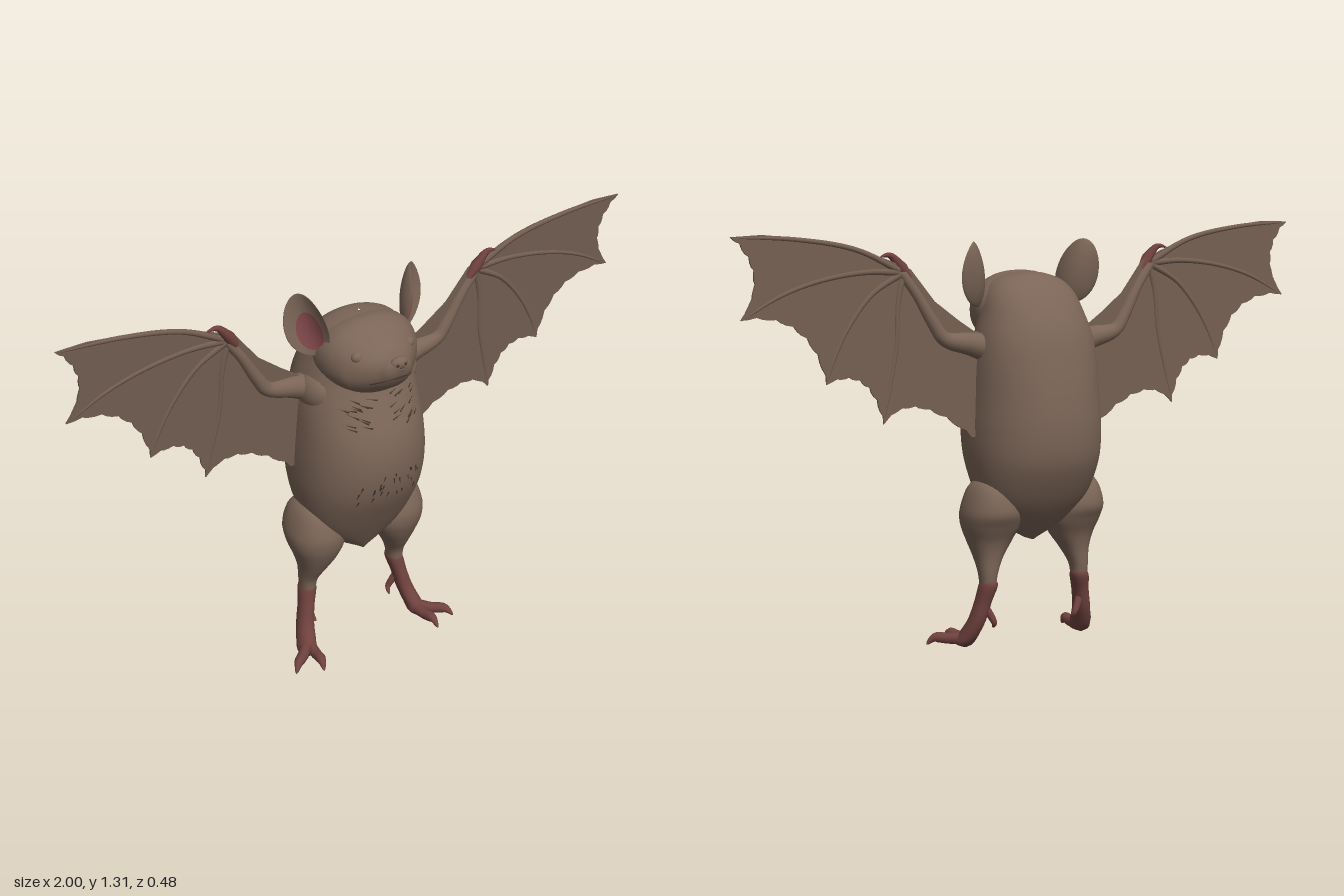
import * as THREE from 'three';
import { mergeGeometries, mergeVertices } from 'three/addons/utils/BufferGeometryUtils.js';

const V = (x, y, z = 0) => new THREE.Vector3(x, y, z);
const material = (name, color, side = THREE.FrontSide) => {
  const m = new THREE.MeshStandardMaterial({ color, side });
  m.name = name;
  return m;
};

const POWER = 0.9; // slightly squared cross-sections

// Cross-section at u from rows of [position, low, high, halfWidth, centreX]
function sectionCurves(rows) {
  const spans = new THREE.CatmullRomCurve3(rows.map(r => V(r[0], r[1], r[2])), false, 'catmullrom', 0.5);
  const widths = new THREE.CatmullRomCurve3(rows.map(r => V(r[0], r[3], r[4] || 0)), false, 'catmullrom', 0.5);
  return u => {
    const a = spans.getPoint(u), b = widths.getPoint(u);
    return { t: a.x, c: (a.y + a.z) / 2, h: Math.abs(a.z - a.y) / 2, w: Math.abs(b.y), cx: b.z };
  };
}

// Smooth skin through cross-sections stacked along y or z
function loft(rows, axis, steps = 48, sides = 40) {
  const at = sectionCurves(rows), pos = [], index = [];
  const bend = v => Math.sign(v) * Math.abs(v) ** POWER;
  for (let i = 0; i <= steps; i++) {
    const s = at(i / steps);
    for (let j = 0; j < sides; j++) {
      const q = j / sides * Math.PI * 2;
      const x = s.cx + s.w * bend(Math.cos(q)), k = s.c + s.h * bend(Math.sin(q));
      pos.push(x, ...(axis === 'y' ? [s.t, k] : [k, s.t]));
      if (i === steps) continue;
      const a = i * sides + j, b = i * sides + (j + 1) % sides, c = a + sides, d = b + sides;
      index.push(...(axis === 'y' ? [a, c, b, b, c, d] : [a, b, c, b, d, c]));
    }
  }
  const g = new THREE.BufferGeometry();
  g.setAttribute('position', new THREE.Float32BufferAttribute(pos, 3));
  g.setIndex(index);
  g.computeVertexNormals();
  return g;
}

// Tube whose radius follows a list of radii, closed at both ends
function limb(points, radii, steps = 20, sides = 10) {
  const curve = new THREE.CatmullRomCurve3(points);
  const g = new THREE.TubeGeometry(curve, steps, 1, sides);
  const p = g.attributes.position, v = V(0, 0);
  for (let i = 0; i <= steps; i++) {
    const f = i / steps * (radii.length - 1), k = Math.min(Math.floor(f), radii.length - 2);
    const end = i === 0 || i === steps ? 0.02 : 1;
    const r = end * THREE.MathUtils.lerp(radii[k], radii[k + 1], f - k), c = curve.getPointAt(i / steps);
    for (let j = 0; j <= sides; j++) {
      const n = i * (sides + 1) + j;
      v.fromBufferAttribute(p, n).sub(c).multiplyScalar(r).add(c);
      p.setXYZ(n, v.x, v.y, v.z);
    }
  }
  return g;
}

const BODY = [
  [0.34, -0.04, 0.03, 0.005], [0.38, -0.085, 0.055, 0.08], [0.43, -0.13, 0.085, 0.145],
  [0.5, -0.18, 0.125, 0.185], [0.6, -0.228, 0.175, 0.208], [0.7, -0.24, 0.195, 0.212],
  [0.8, -0.232, 0.187, 0.207], [0.9, -0.215, 0.15, 0.2], [0.98, -0.195, 0.12, 0.188],
  [1.05, -0.165, 0.11, 0.168], [1.11, -0.125, 0.1, 0.148], [1.15, -0.085, 0.09, 0.115],
  [1.172, -0.045, 0.07, 0.06], [1.178, 0, 0.02, 0.004]];
const HEAD = [
  [-0.09, 1.05, 1.08, 0.01], [-0.05, 0.98, 1.14, 0.13], [0, 0.953, 1.17, 0.163],
  [0.06, 0.948, 1.18, 0.162], [0.11, 0.953, 1.163, 0.142], [0.14, 0.963, 1.138, 0.116],
  [0.17, 0.982, 1.115, 0.088], [0.2, 1.005, 1.106, 0.062], [0.225, 1.04, 1.103, 0.042],
  [0.238, 1.075, 1.095, 0.008]];
const THIGH = [
  [0.2, -0.07, -0.014, 0.023, 0.168], [0.25, -0.075, -0.005, 0.029, 0.166], [0.3, -0.078, 0.025, 0.045, 0.158],
  [0.35, -0.09, 0.052, 0.07, 0.15], [0.4, -0.115, 0.07, 0.09, 0.148], [0.45, -0.135, 0.07, 0.087, 0.153],
  [0.52, -0.11, 0.04, 0.055, 0.16], [0.56, -0.04, -0.02, 0.01, 0.155]];
const SHANK = [
  [0.008, 0.015, 0.03, 0.004, 0.215], [0.02, -0.005, 0.06, 0.028, 0.215], [0.05, -0.028, 0.048, 0.028, 0.207],
  [0.1, -0.05, 0.015, 0.026, 0.193], [0.16, -0.063, -0.002, 0.025, 0.179],
  [0.215, -0.078, -0.012, 0.027, 0.167], [0.235, -0.06, -0.025, 0.01, 0.166]];

// Wings lean very slightly backward toward their lower edge
const wingZ = y => -0.012 + (y - 1.31) * 0.045;
const W = (x, y, dz = 0) => V(x, y, wingZ(y) + dz);

function membraneGeometry() {
  const lead = [[0.15, 0.97], [0.2, 1.0], [0.26, 1.04], [0.34, 1.1], [0.42, 1.2], [0.49, 1.228],
    [0.6, 1.268], [0.76, 1.3], [0.9, 1.314], [1, 1.31]];
  const pts = lead.map(p => new THREE.Vector2(...p));
  // Scalloped trailing edge: [control point, fingertip]
  const scallops = [[0.875, 1.2, 0.977, 1.07], [0.755, 1.09, 0.71, 0.87],
    [0.565, 0.925, 0.525, 0.74], [0.43, 0.85, 0.225, 0.68]];
  for (const [cx, cy, x, y] of scallops) {
    const q = new THREE.QuadraticBezierCurve(pts[pts.length - 1], new THREE.Vector2(cx, cy), new THREE.Vector2(x, y));
    q.getPoints(18).slice(1).forEach((p, i) => pts.push(i % 3 === 1 ? p.add(new THREE.Vector2(-0.004, 0.005)) : p));
  }
  pts.push(new THREE.Vector2(0.14, 0.68));
  const g = new THREE.ExtrudeGeometry(new THREE.Shape(pts), { depth: 0.006, bevelEnabled: false });
  const p = g.attributes.position;
  for (let i = 0; i < p.count; i++) p.setZ(i, p.getZ(i) - 0.003 + wingZ(p.getY(i)));
  g.computeVertexNormals();
  return g;
}

// Cupped ear: the front half of a sphere is pressed into a bowl
const EAR = { w: 0.066, h: 0.104 };
const cup = (u, v) => 0.035 * (u * u + 0.3 * v * v);
function earShell() {
  const g = new THREE.SphereGeometry(1, 28, 20), p = g.attributes.position;
  for (let i = 0; i < p.count; i++) {
    const u = p.getX(i), v = p.getY(i), w = p.getZ(i);
    p.setXYZ(i, u * EAR.w * (1 - 0.12 * v), v * EAR.h, cup(u, v) + w * (w > 0 ? 0.004 : 0.016));
  }
  g.computeVertexNormals();
  return g;
}
function earLining() {
  const g = new THREE.RingGeometry(0.001, 1, 28, 6), p = g.attributes.position;
  for (let i = 0; i < p.count; i++) {
    const u = p.getX(i) * 0.6 - 0.05, v = p.getY(i) * 0.6 - 0.22;
    p.setXYZ(i, u * EAR.w * (1 - 0.12 * v), v * EAR.h, cup(u, v) + 0.0065);
  }
  g.computeVertexNormals();
  return g;
}

// Short fur strokes lying on the chest and belly
function furGeometry() {
  let seed = 7;
  const rnd = () => (seed = (seed * 16807) % 2147483647) / 2147483647;
  const at = sectionCurves(BODY);
  const surface = (x, y) => {
    let lo = 0, hi = 1;
    for (let i = 0; i < 20; i++) { const m = (lo + hi) / 2; if (at(m).t < y) lo = m; else hi = m; }
    const s = at(lo), k = Math.min(1, Math.abs(x) / s.w);
    return V(x, y, s.c + s.h * Math.max(0, 1 - k ** (2 / POWER)) ** (POWER / 2));
  };
  const strokes = [];
  const stroke = (x, y, dx, dy) => {
    const a = surface(x, y), b = surface(x + dx, y + dy), d = b.clone().sub(a);
    const g = new THREE.ConeGeometry(0.0028, d.length(), 5);
    g.applyQuaternion(new THREE.Quaternion().setFromUnitVectors(V(0, 1), d.normalize()));
    const c = a.add(b).multiplyScalar(0.5);
    strokes.push(g.translate(c.x, c.y, c.z));
  };
  for (const s of [-1, 1]) {
    for (let i = 0; i < 14; i++) stroke(s * (0.02 + rnd() * 0.1), 0.84 + rnd() * 0.1, s * 0.035, 0.006 + rnd() * 0.015);
    for (let i = 0; i < 12; i++) stroke(s * rnd() * 0.11, 0.6 + rnd() * 0.1, s * 0.006, -0.018 - rnd() * 0.01);
  }
  return mergeGeometries(strokes);
}

export function createModel() {
  const fur = material('brown fur', 0x7b6557);
  const wingSkin = material('wing brown', 0x735e51, THREE.DoubleSide);
  const skin = material('dusky red skin', 0x70423f);
  const lining = material('ear pink', 0x80484a, THREE.DoubleSide);
  const dark = material('dark fur', 0x46382f);

  const model = new THREE.Group();
  const add = (parent, name, geometry, mat) => {
    const m = new THREE.Mesh(geometry, mat);
    m.name = name;
    parent.add(m);
    return m;
  };
  const ball = (parent, name, mat, x, y, z, rx, ry, rz) => {
    const m = add(parent, name, new THREE.SphereGeometry(1, 24, 16), mat);
    m.position.set(x, y, z);
    m.scale.set(rx, ry, rz);
    return m;
  };

  add(model, 'body', loft(BODY, 'y', 60, 48), fur);
  add(model, 'head', loft(HEAD, 'z'), fur);
  add(model, 'chestFur', furGeometry(), dark);
  ball(model, 'nose', fur, 0, 1.092, 0.222, 0.03, 0.02, 0.017);
  const lip = [[-0.077, 1.018, 0.172], [-0.055, 1.032, 0.201], [-0.025, 1.045, 0.222], [0, 1.048, 0.229],
    [0.025, 1.045, 0.222], [0.055, 1.032, 0.201], [0.077, 1.018, 0.172]];
  add(model, 'mouth', limb(lip.map(p => V(...p)), [0.002, 0.004, 0.002], 24, 8), dark);

  for (const s of [1, -1]) {
    const side = new THREE.Group();
    side.name = s > 0 ? 'leftSide' : 'rightSide';
    side.scale.x = s;
    model.add(side);

    // Face
    ball(side, 'eye', fur, 0.092, 1.098, 0.133, 0.02, 0.018, 0.018);
    ball(side, 'nostril', dark, 0.013, 1.092, 0.236, 0.005, 0.005, 0.004);
    const ear = new THREE.Group();
    ear.name = 'ear';
    ear.position.set(0.176, 1.175, -0.008);
    ear.rotation.set(0, 0.75, -0.3, 'YXZ');
    side.add(ear);
    add(ear, 'earShell', earShell(), fur);
    add(ear, 'earLining', earLining(), lining);

    // Wing
    ball(side, 'shoulder', fur, 0.145, 0.945, -0.015, 0.06, 0.07, 0.085);
    add(side, 'wingMembrane', membraneGeometry(), wingSkin);
    add(side, 'arm', limb([W(0.14, 0.945), W(0.22, 0.965), W(0.31, 0.985), W(0.345, 1.03), W(0.4, 1.12), W(0.455, 1.195)],
      [0.05, 0.036, 0.024, 0.02, 0.016, 0.016], 30, 14), fur);
    const fingers = [
      [[0.6, 1.262], [0.8, 1.298], [0.998, 1.308]],
      [[0.57, 1.195], [0.72, 1.175], [0.85, 1.135], [0.977, 1.068]],
      [[0.55, 1.13], [0.625, 1.045], [0.675, 0.96], [0.712, 0.868]],
      [[0.465, 1.1], [0.475, 0.97], [0.5, 0.85], [0.527, 0.738]]];
    for (const f of fingers)
      add(side, 'wingFinger', limb([W(0.445, 1.19), ...f.map(p => W(...p))], [0.012, 0.009, 0.008, 0.007, 0.003], 30, 8), wingSkin);
    add(side, 'thumb', limb([W(0.415, 1.165, 0.006), W(0.45, 1.21, 0.008), W(0.485, 1.243, 0.006), W(0.52, 1.238, 0.004)],
      [0.01, 0.019, 0.011, 0.002]), skin);

    // Leg and foot
    add(side, 'thigh', loft(THIGH, 'y', 40, 32), fur);
    add(side, 'shank', loft(SHANK, 'y', 30, 20), skin);
    const toes = [
      [[0.21, 0.035, 0.02], [0.25, 0.032, 0.06], [0.285, 0.032, 0.09], [0.305, 0.008, 0.108]],
      [[0.205, 0.035, 0.02], [0.21, 0.032, 0.075], [0.216, 0.034, 0.118], [0.221, 0.008, 0.142]],
      [[0.18, 0.15, -0.035], [0.16, 0.115, -0.045], [0.148, 0.09, -0.048], [0.143, 0.072, -0.03]]];
    toes.forEach((t, i) => add(side, i < 2 ? 'toe' : 'heelSpur',
      limb(t.map(p => V(...p)), i < 2 ? [0.022, 0.018, 0.017, 0.003] : [0.014, 0.012, 0.01, 0.003]), skin));
  }
  return model;
}
